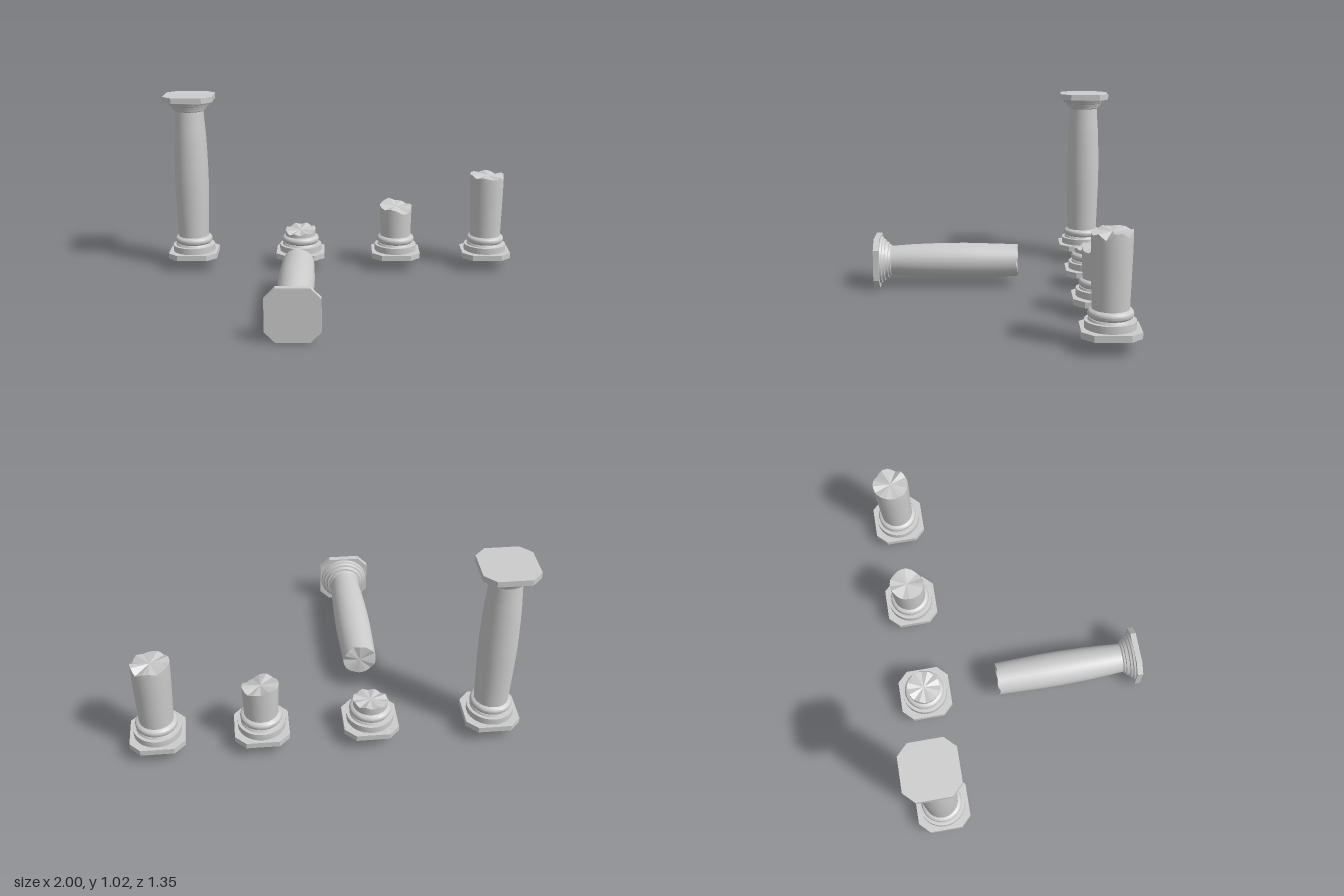
import * as THREE from 'three';
import { toCreasedNormals } from 'three/addons/utils/BufferGeometryUtils.js';

const SEG = 32;
const smooth = new THREE.MeshStandardMaterial({ color: 0xcccccc });
const rough = new THREE.MeshStandardMaterial({ color: 0xcccccc, flatShading: true });
const pts = (list) => list.map(([r, y]) => new THREE.Vector2(r, y));

// Swelling shaft radius at a height above the column's foot
const swell = new THREE.SplineCurve(pts([[0.088, 0.12], [0.093, 0.28], [0.097, 0.46], [0.092, 0.68], [0.08, 0.863]]));
const swellPoints = swell.getPoints(80);
function radiusAt(y) {
  return swellPoints.reduce((a, b) => (Math.abs(b.y - y) < Math.abs(a.y - y) ? b : a)).x;
}

function add(group, name, geometry, material, y = 0) {
  const mesh = new THREE.Mesh(geometry, material);
  mesh.name = name;
  mesh.position.y = y;
  group.add(mesh);
  return mesh;
}

// Square slab with cut corners
function slab(group, name, y, height) {
  const a = 0.14, b = 0.085;
  const shape = new THREE.Shape(pts([[a, -b], [a, b], [b, a], [-b, a], [-a, b], [-a, -b], [-b, -a], [b, -a]]));
  const geo = new THREE.ExtrudeGeometry(shape, { depth: height, bevelEnabled: false });
  add(group, name, geo.rotateX(-Math.PI / 2), rough, y);
}

function turned(group, name, profile) {
  add(group, name, toCreasedNormals(new THREE.LatheGeometry(pts(profile), SEG), 0.6), smooth);
}

function base(group) {
  slab(group, 'baseSlab', 0, 0.031);
  const roll = [];
  for (let i = 0; i <= 8; i++) {
    const t = -Math.PI / 2 + (i / 8) * Math.PI;
    roll.push([0.093 + 0.015 * Math.cos(t), 0.098 + 0.02 * Math.sin(t)]);
  }
  turned(group, 'baseMoulding', [[0.122, 0.03], [0.122, 0.067], [0.106, 0.068], [0.101, 0.078], ...roll, [0.086, 0.122]]);
}

function capital(group) {
  turned(group, 'capitalMoulding', [[0.079, 0.861], [0.087, 0.866], [0.09, 0.876], [0.1, 0.878], [0.106, 0.894],
    [0.116, 0.897], [0.121, 0.908], [0.13, 0.912], [0.134, 0.923]]);
  slab(group, 'capitalSlab', 0.922, 0.031);
}

// Height of a jagged rim, from values spaced evenly round the shaft, starting at the front
function rimAt(heights, u) {
  const t = (u % 1) * heights.length, i = Math.floor(t);
  return THREE.MathUtils.lerp(heights[i], heights[(i + 1) % heights.length], t - i);
}

// Shaft between two ends; an end given as a list of heights is broken
function shaft(group, low, high) {
  const rows = 20;
  const geo = new THREE.LatheGeometry(Array.from({ length: rows + 1 }, (_, i) => new THREE.Vector2(1, i)), SEG);
  const p = geo.attributes.position;
  const end = (e, u) => (Array.isArray(e) ? rimAt(e, u) : e);
  for (let i = 0; i < p.count; i++) {
    const u = Math.floor(i / (rows + 1)) / SEG;
    const y = THREE.MathUtils.lerp(end(low, u), end(high, u), (i % (rows + 1)) / rows);
    const r = radiusAt(y), a = u * Math.PI * 2;
    p.setXYZ(i, r * Math.sin(a), y, r * Math.cos(a));
  }
  add(group, 'shaft', toCreasedNormals(geo, 0.8), smooth);
  if (Array.isArray(low)) brokenFace(group, low, false);
  if (Array.isArray(high)) brokenFace(group, high, true);
}

// Rough fan of stone closing a broken end
function brokenFace(group, heights, up) {
  const rings = [1, 0.55, 0];
  if (!up) rings.reverse();
  const geo = new THREE.LatheGeometry(rings.map((k) => new THREE.Vector2(k, 0)), SEG);
  const p = geo.attributes.position;
  const mean = heights.reduce((s, h) => s + h, 0) / heights.length;
  for (let i = 0; i < p.count; i++) {
    const k = rings[i % 3], u = Math.floor(i / 3) / SEG, a = u * Math.PI * 2;
    const rim = rimAt(heights, u), r = k * radiusAt(rim);
    p.setXYZ(i, r * Math.sin(a), THREE.MathUtils.lerp(mean, rim, k), r * Math.cos(a));
  }
  add(group, 'brokenFace', geo, rough);
}

export function createModel() {
  const model = new THREE.Group();
  const column = (name, x, y, z) => {
    const g = new THREE.Group();
    g.name = name;
    g.position.set(x, y, z);
    model.add(g);
    return g;
  };

  // Whole standing column
  const whole = column('wholeColumn', -0.86, 0.07, -0.535);
  base(whole);
  shaft(whole, 0.118, 0.865);
  capital(whole);

  // Broken standing columns: low stump, short and tall
  const broken = [
    ['stump', -0.23, [0.135, 0.15, 0.14, 0.16, 0.15, 0.165, 0.155, 0.17, 0.16, 0.168, 0.15, 0.158, 0.14, 0.15, 0.132, 0.145]],
    ['shortBrokenColumn', 0.33, [0.285, 0.265, 0.262, 0.285, 0.3, 0.298, 0.29, 0.305, 0.305, 0.322, 0.312, 0.3, 0.305, 0.295, 0.285, 0.295]],
    ['tallBrokenColumn', 0.86, [0.475, 0.468, 0.48, 0.455, 0.485, 0.488, 0.462, 0.482, 0.49, 0.478, 0.488, 0.49, 0.484, 0.488, 0.472, 0.482]],
  ];
  for (const [name, x, rim] of broken) {
    const g = column(name, x, 0.07, -0.535);
    base(g);
    shaft(g, 0.118, rim);
  }

  // Fallen upper part, lying with its capital to the front
  const fallen = column('fallenColumn', -0.23, 0.14, -0.283);
  shaft(fallen, [0.155, 0.16, 0.154, 0.158, 0.168, 0.155, 0.156, 0.164, 0.154, 0.158, 0.153, 0.165, 0.158, 0.154, 0.162, 0.155], 0.865);
  capital(fallen);
  fallen.rotation.x = Math.PI / 2;

  return model;
}
